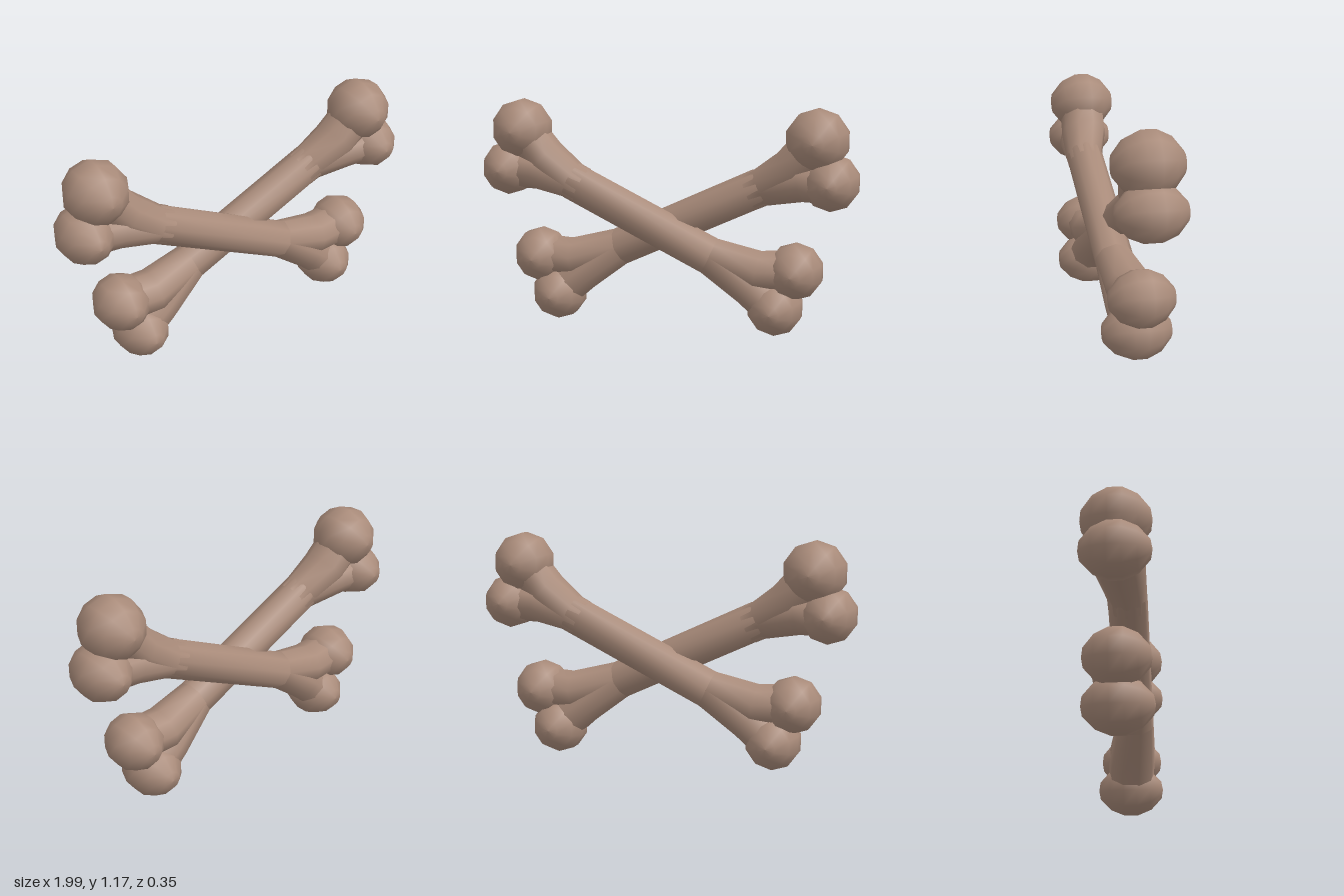
import * as THREE from 'three';

const SIDES = 9;

// Skin a tube through rings [x, y, z, half width in the bone plane, half depth]
function loft(rings) {
  const pos = [], idx = [];
  rings.forEach(([x, y, z, w, d], i) => {
    const a = rings[Math.max(i - 1, 0)], b = rings[Math.min(i + 1, rings.length - 1)];
    const t = new THREE.Vector2(b[0] - a[0], b[1] - a[1]).normalize();
    for (let j = 0; j < SIDES; j++) {
      const q = (j / SIDES) * Math.PI * 2;
      const c = Math.cos(q) * w;
      pos.push(x - t.y * c, y + t.x * c, z + Math.sin(q) * d);
      if (i < rings.length - 1) {
        const k = i * SIDES, n = (j + 1) % SIDES;
        idx.push(k + j, k + n, k + SIDES + n, k + j, k + SIDES + n, k + SIDES + j);
      }
    }
  });
  const g = new THREE.BufferGeometry();
  g.setAttribute('position', new THREE.Float32BufferAttribute(pos, 3));
  g.setIndex(idx);
  g.computeVertexNormals();
  return g;
}

// Chunky rounded knob turned around the z axis
function knobGeometry(r, depth) {
  const half = [[0, 1], [0.34, 0.95], [0.78, 0.62], [1, 0.2]];
  const profile = [
    ...half.map(([a, h]) => new THREE.Vector2(a * r, -h * depth)),
    ...half.reverse().map(([a, h]) => new THREE.Vector2(a * r, h * depth)),
  ];
  return new THREE.LatheGeometry(profile, 10).rotateX(Math.PI / 2);
}

export function createModel() {
  const boneMaterial = new THREE.MeshStandardMaterial({ color: 0xa98b7a });
  boneMaterial.name = 'bone';

  function createBone(name) {
    const bone = new THREE.Group();
    bone.name = name;
    const add = (part, geometry) => {
      const m = new THREE.Mesh(geometry, boneMaterial);
      m.name = part;
      bone.add(m);
      return m;
    };

    // Shaft, set slightly forward so the two bones cross
    const top = [-0.5, 0.762, 0.038, 0.1, 0.1];
    const bottom = [0.26, 0.4, 0.038, 0.1, 0.1];
    add('shaft', loft([top, bottom]));

    // Each end forks through two necks into two knobs
    const ends = [
      { name: 'upperOuter', from: top, neck: [-0.65, 0.87], knob: [-0.785, 1.015], r: 0.16, d: 0.175 },
      { name: 'upperInner', from: top, neck: [-0.7, 0.805], knob: [-0.86, 0.808], r: 0.142, d: 0.175 },
      { name: 'lowerOuter', from: bottom, neck: [0.5, 0.335], knob: [0.688, 0.342], r: 0.144, d: 0.165 },
      { name: 'lowerInner', from: bottom, neck: [0.465, 0.25], knob: [0.588, 0.143], r: 0.143, d: 0.175 },
    ];
    for (const { name: part, from, neck, knob, r, d } of ends) {
      // Start along the shaft direction so the neck leaves it smoothly
      const inner = from.slice();
      const s = from === top ? 1 : -1;
      inner[0] += 0.06 * s;
      inner[1] -= 0.0286 * s;
      inner[3] = inner[4] = 0.098;
      add(part + 'Neck', loft([
        inner,
        from,
        [...neck, 0.012, 0.106, 0.125],
        [...knob, 0, 0.11, 0.12],
      ]));
      add(part + 'Knob', knobGeometry(r, d)).position.set(...knob, 0);
    }
    return bone;
  }

  const model = new THREE.Group();
  model.name = 'crossedBones';
  const front = createBone('frontBone');
  // The second bone is the first one turned half around
  const back = createBone('backBone');
  back.rotation.y = Math.PI;
  model.add(front, back);
  return model;
}
